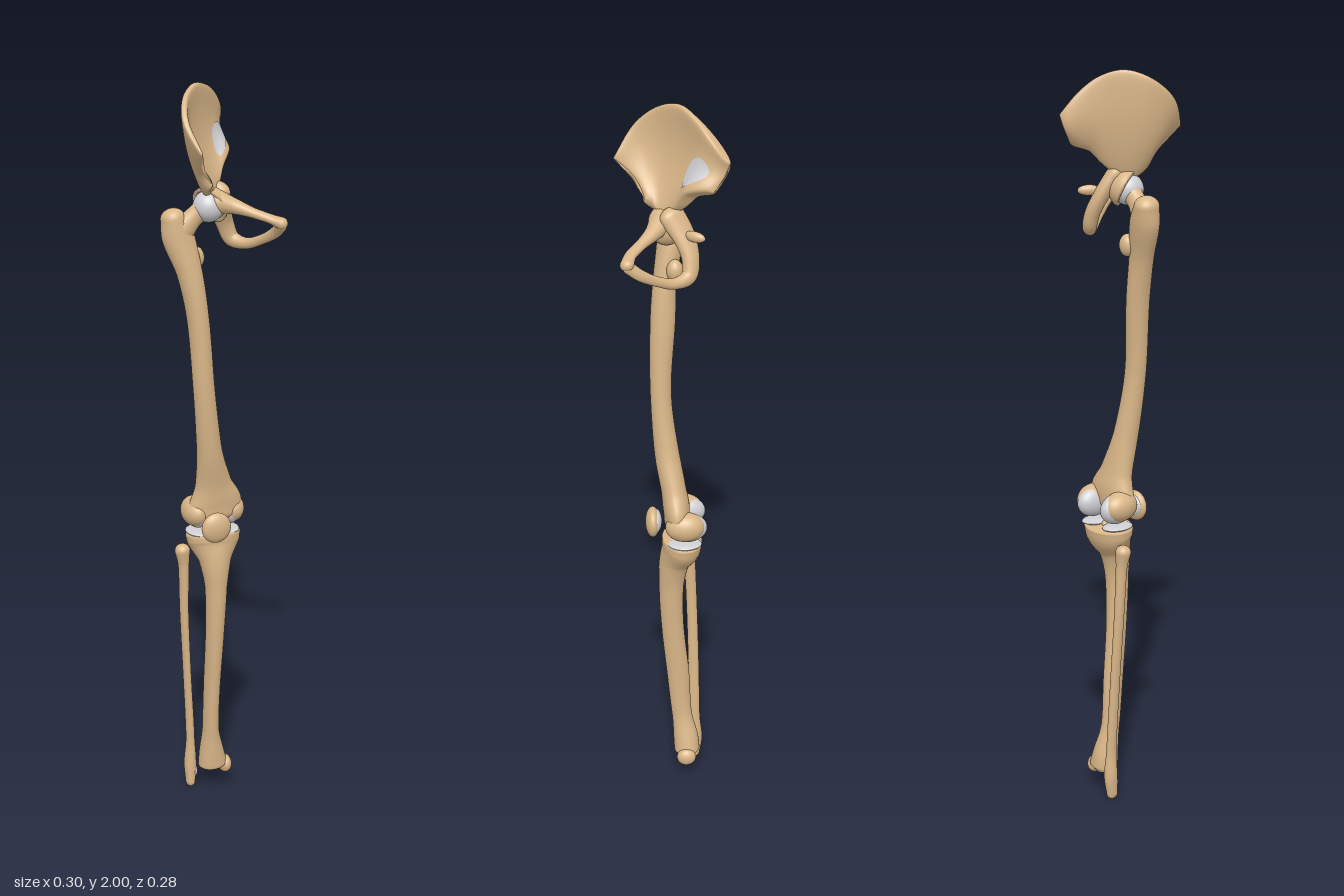
import * as THREE from 'three';
import { ParametricGeometry } from 'three/addons/geometries/ParametricGeometry.js';

const V = (x, y, z) => new THREE.Vector3(x, y, z);
const X = V(1, 0, 0), Z = V(0, 0, 1);

// Skin a list of closed rings and close both ends
function loft(rings) {
  const n = rings[0].length, pos = [], index = [];
  for (const ring of rings) for (const p of ring) pos.push(p.x, p.y, p.z);
  for (let i = 0; i < rings.length - 1; i++) {
    for (let j = 0; j < n; j++) {
      const a = i * n + j, b = i * n + (j + 1) % n;
      index.push(a, b, b + n, a, b + n, a + n);
    }
  }
  [0, rings.length - 1].forEach((r, end) => {
    const c = V(0, 0, 0), k = pos.length / 3;
    rings[r].forEach((p) => c.addScaledVector(p, 1 / n));
    pos.push(c.x, c.y, c.z);
    for (let j = 0; j < n; j++) {
      const a = r * n + j, b = r * n + (j + 1) % n;
      end ? index.push(a, b, k) : index.push(b, a, k);
    }
  });
  const g = new THREE.BufferGeometry();
  g.setAttribute('position', new THREE.Float32BufferAttribute(pos, 3));
  g.setIndex(index);
  g.computeVertexNormals();
  return g;
}

// Oval shaft through points [x, y, z, radius along ref, radius across], with domed ends
function shaft(points, ref, dome = [1, 1], steps = 48, sides = 28) {
  const path = new THREE.CatmullRomCurve3(points.map((p) => V(p[0], p[1], p[2])));
  const size = new THREE.CatmullRomCurve3(points.map((p) => V(p[3], p[4], 0)));
  const rings = [];
  const addRing = (t, shift, scale) => {
    const c = path.getPoint(t), T = path.getTangent(t), r = size.getPoint(t);
    const A = ref.clone().addScaledVector(T, -ref.dot(T)).normalize();
    const B = T.clone().cross(A);
    c.addScaledVector(T, shift * Math.min(r.x, r.y));
    rings.push(Array.from({ length: sides }, (_, j) => {
      const a = (j / sides) * Math.PI * 2;
      return c.clone().addScaledVector(A, Math.cos(a) * r.x * scale).addScaledVector(B, Math.sin(a) * r.y * scale);
    }));
  };
  for (let k = 1; k < 6; k++) addRing(0, -dome[0] * Math.cos(k * Math.PI / 12), Math.sin(k * Math.PI / 12));
  for (let i = 0; i <= steps; i++) addRing(i / steps, 0, 1);
  for (let k = 5; k > 0; k--) addRing(1, dome[1] * Math.cos(k * Math.PI / 12), Math.sin(k * Math.PI / 12));
  return loft(rings);
}

// Flared wing of the hip: a curved sheet between a lower edge and the crest
const crest = new THREE.CatmullRomCurve3([
  V(-0.09, 1.845, 0.143), V(-0.115, 1.925, 0.09), V(-0.097, 1.975, 0.035), V(-0.05, 1.998, -0.018),
  V(0, 1.98, -0.06), V(0.035, 1.94, -0.1), V(0.06, 1.885, -0.14)]);
const lowerEdge = new THREE.CatmullRomCurve3([
  V(-0.035, 1.755, 0.066), V(-0.035, 1.735, 0.05), V(-0.028, 1.72, 0.03), V(-0.012, 1.72, 0.008),
  V(0.01, 1.745, -0.015), V(0.037, 1.79, -0.045), V(0.065, 1.81, -0.1)]);

function wingMid(u, v) {
  const hollow = 0.013 * Math.sin(Math.PI * v);
  return lowerEdge.getPoint(u).lerp(crest.getPoint(u), v).add(V(-hollow, 0, -hollow));
}
function wingPoint(u, v, offset) {
  const e = 0.01, cl = THREE.MathUtils.clamp;
  const du = wingMid(cl(u + e, 0, 1), v).sub(wingMid(cl(u - e, 0, 1), v));
  const dv = wingMid(u, cl(v + e, 0, 1)).sub(wingMid(u, cl(v - e, 0, 1)));
  return wingMid(u, v).addScaledVector(du.cross(dv).normalize(), offset);
}
function wingThickness(u, v) {
  const rear = 0.009 * THREE.MathUtils.smoothstep(u, 0.6, 0.9);
  const t = 0.007 + 0.02 * (1 - v) ** 3 + 0.008 * v ** 6 + rear;
  return t * Math.sqrt(Math.max(0, 1 - Math.abs(2 * u - 1) ** 7));
}
function wing() {
  const rings = [];
  for (let i = 0; i <= 48; i++) {
    const u = 0.5 - 0.5 * Math.cos((i / 48) * Math.PI);
    rings.push(Array.from({ length: 56 }, (_, j) => {
      const a = (j / 56) * Math.PI * 2, v = 0.5 - 0.5 * Math.cos(a), s = Math.sin(a);
      return wingPoint(u, v, -Math.sign(s) * Math.sqrt(Math.abs(s)) * wingThickness(u, v));
    }));
  }
  return loft(rings);
}
// Oval joint face lying on the inner side of the wing
function wingFacet() {
  return new ParametricGeometry((r, t, target) => {
    const a = t * Math.PI * 2;
    const u = 0.78 + 0.11 * r * Math.cos(a), v = 0.38 + 0.23 * r * Math.sin(a);
    const s = Math.sqrt(1 - (2 * v - 1) ** 2);
    target.copy(wingPoint(u, v, wingThickness(u, v) * Math.sqrt(s) + 0.002));
  }, 8, 32);
}

export function createModel() {
  const bone = new THREE.MeshStandardMaterial({ color: 0xd9b688 });
  const cartilage = new THREE.MeshStandardMaterial({ color: 0xd0d0d4 });
  const facet = new THREE.MeshStandardMaterial({ color: 0xd0d0d4, side: THREE.DoubleSide });
  facet.name = 'cartilageSheet';
  bone.name = 'bone';
  cartilage.name = 'cartilage';

  const model = new THREE.Group();
  model.name = 'legSkeleton';
  const group = (name) => {
    const g = new THREE.Group();
    g.name = name;
    model.add(g);
    return g;
  };
  const add = (parent, name, geometry, material = bone) => {
    const m = new THREE.Mesh(geometry, material);
    m.name = name;
    parent.add(m);
    return m;
  };
  const knob = (parent, name, c, r, material = bone) => {
    const m = add(parent, name, new THREE.SphereGeometry(1, 32, 22), material);
    m.position.set(...c);
    m.scale.set(...r);
    return m;
  };

  // Hip bone
  const hip = group('hipBone');
  const head = [-0.028, 1.688, 0.016];
  add(hip, 'wing', wing());
  add(hip, 'wingJointFace', wingFacet(), facet);
  const ringNormal = V(-0.75, 0, 0.65);
  add(hip, 'seatBone', shaft([
    [0.002, 1.725, 0.0, 0.024, 0.036], [0.02, 1.675, -0.03, 0.021, 0.032], [0.04, 1.625, -0.045, 0.02, 0.025],
    [0.057, 1.585, -0.04, 0.019, 0.022], [0.083, 1.577, -0.005, 0.014, 0.015], [0.11, 1.597, 0.045, 0.01, 0.013],
    [0.128, 1.622, 0.085, 0.011, 0.015], [0.132, 1.645, 0.113, 0.013, 0.016]], ringNormal));
  add(hip, 'pubicBranch', shaft([
    [-0.005, 1.7, 0.03, 0.03, 0.03], [0.03, 1.69, 0.05, 0.021, 0.02], [0.07, 1.676, 0.082, 0.015, 0.013],
    [0.105, 1.664, 0.108, 0.016, 0.012], [0.132, 1.652, 0.117, 0.018, 0.016]], ringNormal));
  const spine = knob(hip, 'seatSpine', [0.043, 1.685, -0.055], [0.012, 0.014, 0.03]);
  spine.rotation.y = -0.6;

  // Hip socket: a closed cup opening outward, forward and down
  const cupProfile = [];
  for (let i = 0; i <= 12; i++) cupProfile.push([0.052, i / 12]);
  for (let i = 12; i >= 0; i--) cupProfile.push([0.043, i / 12]);
  const socket = add(hip, 'socket', new THREE.LatheGeometry(cupProfile.map(([r, t]) =>
    new THREE.Vector2(r * Math.sin(t * 1.5), -r * Math.cos(t * 1.5))), 40));
  socket.position.set(...head);
  socket.quaternion.setFromUnitVectors(V(0, 1, 0), V(-0.75, -0.42, 0.45).normalize());

  // Thigh bone
  const thigh = group('thighBone');
  knob(thigh, 'head', head, [0.041, 0.041, 0.041], cartilage);
  add(thigh, 'neck', shaft([
    [-0.04, 1.682, 0.014, 0.03, 0.03], [-0.065, 1.663, 0.01, 0.023, 0.026],
    [-0.1, 1.625, 0.003, 0.028, 0.036]], Z));
  add(thigh, 'shaft', shaft([
    [-0.118, 1.66, -0.005, 0.032, 0.034], [-0.105, 1.61, 0, 0.043, 0.034], [-0.08, 1.52, 0.014, 0.034, 0.031],
    [-0.06, 1.4, 0.021, 0.029, 0.033], [-0.045, 1.2, 0.027, 0.029, 0.028], [-0.025, 1.03, 0.012, 0.034, 0.033],
    [-0.008, 0.93, -0.005, 0.05, 0.034], [0, 0.875, -0.012, 0.074, 0.036],
    [0.001, 0.845, -0.012, 0.076, 0.034]], X, [0.8, 0.7]));
  knob(thigh, 'lesserBump', [-0.054, 1.55, -0.01], [0.023, 0.03, 0.022]);
  for (const [side, s] of [['inner', 1], ['outer', -1]]) {
    knob(thigh, side + 'Condyle', [0.05 * s, 0.845, -0.033], [0.037, 0.041, 0.053]);
    knob(thigh, side + 'CondyleCartilage', [0.044 * s, 0.84, -0.038], [0.031, 0.042, 0.055], cartilage);
  }

  // Kneecap
  const knee = group('kneecap');
  knob(knee, 'kneecapBone', [-0.02, 0.822, 0.051], [0.041, 0.042, 0.02]);
  knob(knee, 'kneecapCartilage', [-0.02, 0.825, 0.042], [0.034, 0.032, 0.016], cartilage);

  // Shin bone
  const shin = group('shinBone');
  add(shin, 'shaft', shaft([
    [0, 0.779, -0.028, 0.077, 0.055], [0, 0.755, -0.025, 0.073, 0.054], [-0.002, 0.705, -0.007, 0.044, 0.042],
    [-0.002, 0.63, 0.001, 0.03, 0.034], [-0.004, 0.5, -0.002, 0.025, 0.031], [-0.007, 0.33, -0.018, 0.022, 0.031],
    [-0.007, 0.2, -0.028, 0.022, 0.028], [0, 0.115, -0.04, 0.035, 0.035],
    [0.004, 0.078, -0.043, 0.041, 0.036]], X, [0.15, 0.4]));
  knob(shin, 'innerAnkle', [0.039, 0.07, -0.04], [0.019, 0.026, 0.027]);
  knob(shin, 'ankleCartilage', [0, 0.072, -0.043], [0.033, 0.012, 0.031], cartilage);
  knob(shin, 'kneeRidge', [0, 0.785, -0.03], [0.012, 0.012, 0.02]);
  for (const s of [1, -1]) {
    knob(shin, s > 0 ? 'innerPlateau' : 'outerPlateau', [0.04 * s, 0.786, -0.033], [0.034, 0.008, 0.046], cartilage);
  }

  // Calf bone
  const calf = group('calfBone');
  add(calf, 'shaft', shaft([
    [-0.08, 0.728, -0.05, 0.021, 0.021], [-0.076, 0.685, -0.052, 0.015, 0.016], [-0.073, 0.55, -0.058, 0.012, 0.015],
    [-0.063, 0.35, -0.064, 0.011, 0.015], [-0.053, 0.15, -0.068, 0.012, 0.015], [-0.053, 0.07, -0.07, 0.017, 0.02],
    [-0.054, 0.018, -0.066, 0.013, 0.017]], X, [0.9, 1.2]));
  knob(calf, 'ankleFace', [-0.043, 0.048, -0.066], [0.009, 0.02, 0.013], cartilage);

  return model;
}
